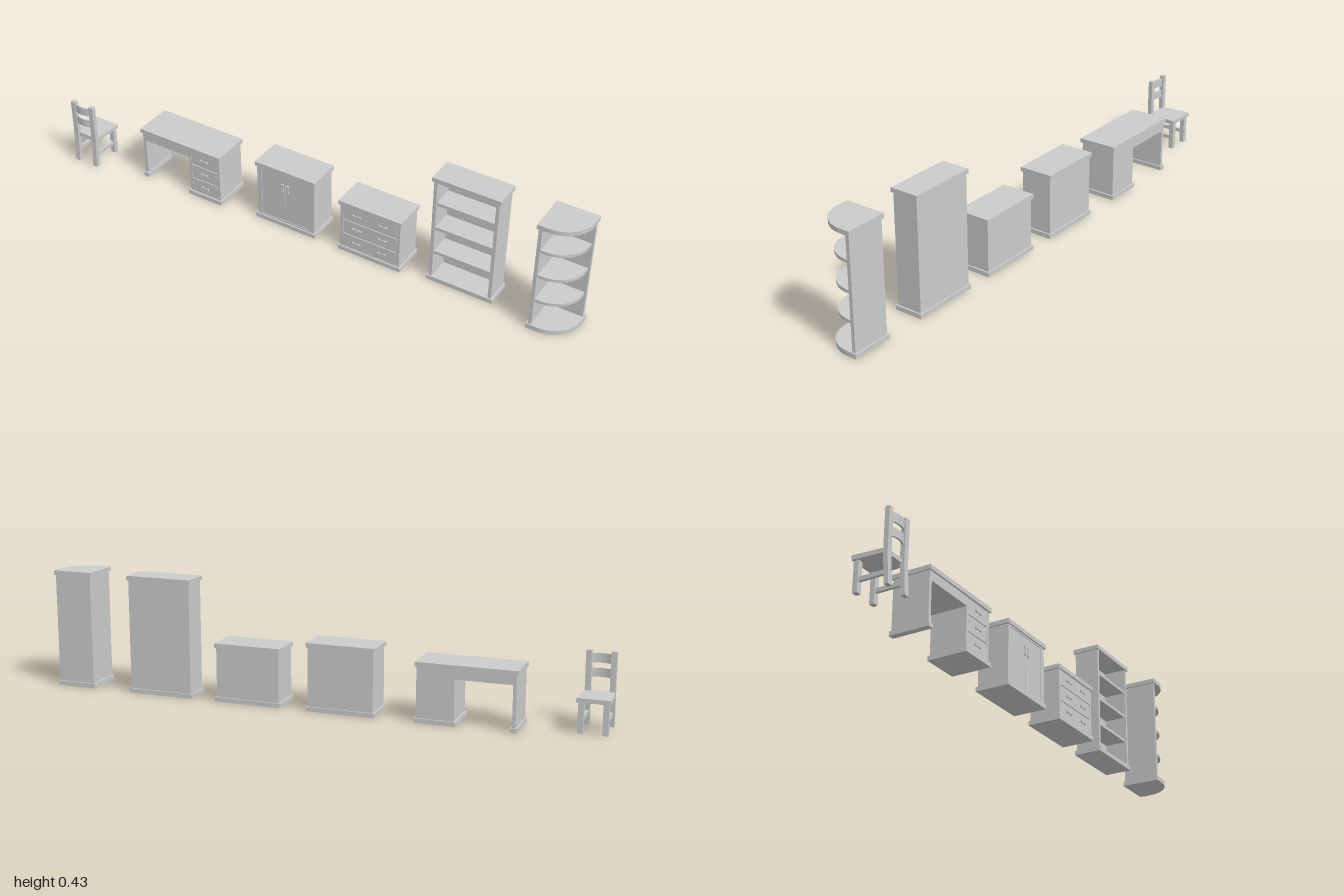
import * as THREE from 'three';

const mat = new THREE.MeshStandardMaterial({ color: 0xcccccc, flatShading: true });

function add(group, name, geometry) {
  const mesh = new THREE.Mesh(geometry, mat);
  mesh.name = name;
  group.add(mesh);
  return mesh;
}

// Box given by its limits on each axis
function box(group, name, [x0, x1], [y0, y1], [z0, z1]) {
  const g = new THREE.BoxGeometry(x1 - x0, y1 - y0, z1 - z0);
  g.translate((x0 + x1) / 2, (y0 + y1) / 2, (z0 + z1) / 2);
  return add(group, name, g);
}

// Horizontal slab from a plan outline drawn as (x, -z)
function slab(group, name, shape, y0, y1) {
  const g = new THREE.ExtrudeGeometry(shape, { depth: y1 - y0, bevelEnabled: false, curveSegments: 16 });
  g.rotateX(-Math.PI / 2).translate(0, y0, 0);
  return add(group, name, g);
}

const polygon = (pts) => new THREE.Shape(pts.map(([a, b]) => new THREE.Vector2(a, -b)));

function part(root, name) {
  const g = new THREE.Group();
  g.name = name;
  root.add(g);
  return g;
}

// Bar handle on two posts, standing off a front face at z
function handle(group, x, y, z, vertical = false) {
  const h = part(group, 'handle');
  const L = 0.016, t = 0.004;
  box(h, 'handleBar', [-L, L], [-t, t], [0.003, 0.006]);
  for (const s of [-1, 1]) {
    const c = s * (L - 0.003);
    box(h, 'handlePost', [c - 0.003, c + 0.003], [-t, t], [-0.002, 0.003]);
  }
  if (vertical) h.rotation.z = Math.PI / 2;
  h.position.set(x, y, z);
}

const BACK = -0.1;

// Plinth and overhanging top shared by the straight cabinets
function capAndPlinth(g, [x0, x1], height, front) {
  box(g, 'plinth', [x0, x1], [0, 0.016], [BACK, front]);
  box(g, 'top', [x0, x1], [height - 0.016, height], [BACK, front]);
}

// Front frame with an opening, in front of a carcass
function framedCarcass(g, [x0, x1], [y0, y1], front, stile, rail) {
  box(g, 'carcass', [x0, x1], [y0, y1], [BACK + 0.005, front - 0.004]);
  const z = [front - 0.004, front];
  box(g, 'stile', [x0, x0 + stile], [y0, y1], z);
  box(g, 'stile', [x1 - stile, x1], [y0, y1], z);
  box(g, 'rail', [x0 + stile, x1 - stile], [y0, y0 + rail], z);
  box(g, 'rail', [x0 + stile, x1 - stile], [y1 - rail, y1], z);
}

function drawers(g, [x0, x1], front, handleXs) {
  for (const y of [0.047, 0.106, 0.165]) {
    box(g, 'drawerFront', [x0, x1], [y - 0.0285, y + 0.0255], [front - 0.005, front - 0.0005]);
    for (const x of handleXs) handle(g, x, y - 0.001, front);
  }
}

function chair(root) {
  const g = part(root, 'chair');
  const cx = -0.9425;
  // Seat, narrowing to the back between the posts
  slab(g, 'seat', polygon([
    [cx - 0.0565, -0.03], [cx + 0.0565, -0.03], [cx + 0.0575, -0.022], [cx + 0.05, 0.078],
    [cx + 0.03, 0.078], [cx + 0.03, 0.086], [cx - 0.03, 0.086], [cx - 0.03, 0.078],
    [cx - 0.05, 0.078], [cx - 0.0575, -0.022]].reverse()), 0.105, 0.12);
  const profile = [[0.1, 0], [0.093, 0.105], [0.093, 0.256], [0.077, 0.256], [0.077, 0.105], [0.085, 0]];
  for (const s of [-1, 1]) {
    const x = cx + s * 0.041, hw = 0.0095;
    // Back leg and post in one bent piece
    const shape = new THREE.Shape(profile.map(([z, y]) => new THREE.Vector2(-z, y)));
    const post = new THREE.ExtrudeGeometry(shape, { depth: 2 * hw, bevelEnabled: false });
    post.rotateY(Math.PI / 2).translate(x - hw, 0, 0);
    add(g, 'backPost', post);
    box(g, 'frontLeg', [x - hw, x + hw], [0, 0.106], [-0.026, -0.009]);
    box(g, 'sideStretcher', [x - 0.005, x + 0.005], [0.037, 0.051], [-0.01, 0.086]);
  }
  // Bowed back slats
  const slat = new THREE.Shape();
  slat.moveTo(cx - 0.033, -0.082);
  slat.quadraticCurveTo(cx, -0.098, cx + 0.033, -0.082);
  slat.lineTo(cx + 0.033, -0.088);
  slat.quadraticCurveTo(cx, -0.104, cx - 0.033, -0.088);
  slab(g, 'upperSlat', slat, 0.214, 0.246);
  slab(g, 'lowerSlat', slat, 0.166, 0.196);
}

function desk(root) {
  const g = part(root, 'desk');
  const front = 0.04;
  box(g, 'deskTop', [-0.71, -0.36], [0.193, 0.209], [BACK, 0.046]);
  box(g, 'apron', [-0.697, -0.495], [0.16, 0.193], [BACK + 0.005, front]);
  box(g, 'sidePanel', [-0.705, -0.693], [0.016, 0.193], [BACK + 0.005, front]);
  box(g, 'sidePanelFoot', [-0.71, -0.688], [0, 0.016], [BACK, 0.046]);
  box(g, 'pedestalPlinth', [-0.503, -0.36], [0, 0.016], [BACK, 0.046]);
  framedCarcass(g, [-0.497, -0.366], [0.016, 0.193], front, 0.01, 0.002);
  drawers(g, [-0.486, -0.377], front, [-0.4315]);
}

function cabinet(root) {
  const g = part(root, 'cabinet');
  const cx = -0.0965, front = 0.021;
  capAndPlinth(g, [-0.22, 0.027], 0.24, 0.026);
  framedCarcass(g, [-0.214, 0.021], [0.016, 0.224], front, 0.018, 0.006);
  for (const s of [-1, 1]) {
    const xs = [cx + s * 0.0005, cx + s * 0.099].sort((a, b) => a - b);
    box(g, 'door', xs, [0.0225, 0.2175], [front - 0.005, front - 0.002]);
    handle(g, cx + s * 0.011, 0.166, front - 0.001, true);
  }
}

function chest(root) {
  const g = part(root, 'chestOfDrawers');
  capAndPlinth(g, [0.123, 0.369], 0.209, 0.026);
  framedCarcass(g, [0.129, 0.363], [0.016, 0.193], 0.021, 0.013, 0.002);
  drawers(g, [0.143, 0.349], 0.021, [0.195, 0.297]);
}

const shelfHeights = [0.11, 0.211, 0.312];

function bookcase(root) {
  const g = part(root, 'bookcase');
  const front = -0.002;
  capAndPlinth(g, [0.46, 0.707], 0.425, 0.003);
  for (const x of [0.466, 0.689]) box(g, 'sidePanel', [x, x + 0.012], [0.016, 0.409], [BACK + 0.005, front]);
  box(g, 'backPanel', [0.478, 0.689], [0.016, 0.409], [BACK + 0.005, BACK + 0.013]);
  for (const y of shelfHeights) box(g, 'shelf', [0.478, 0.689], [y, y + 0.011], [BACK + 0.013, front - 0.005]);
}

// Plan with its front left corner rounded
function roundedPlan(x0, x1, z0, z1, r) {
  const s = new THREE.Shape();
  s.moveTo(x0, -z1);
  s.lineTo(x1 - r, -z1);
  s.absarc(x1 - r, -z1 + r, r, -Math.PI / 2, 0, false);
  s.lineTo(x1, -z0);
  s.lineTo(x0, -z0);
  return s;
}

function cornerShelf(root) {
  const g = part(root, 'cornerShelf');
  const outer = roundedPlan(0.85, 1, BACK, 0.046, 0.112);
  slab(g, 'plinth', outer, 0, 0.017);
  slab(g, 'top', outer, 0.409, 0.425);
  box(g, 'sidePanel', [0.856, 0.868], [0.017, 0.409], [BACK + 0.005, 0.041]);
  box(g, 'backPanel', [0.868, 0.995], [0.017, 0.409], [BACK + 0.005, -0.082]);
  const inner = roundedPlan(0.868, 0.989, -0.082, 0.035, 0.105);
  for (const y of shelfHeights) slab(g, 'shelf', inner, y, y + 0.011);
}

export function createModel() {
  const root = new THREE.Group();
  root.name = 'furnitureSet';
  for (const build of [chair, desk, cabinet, chest, bookcase, cornerShelf]) build(root);
  return root;
}
